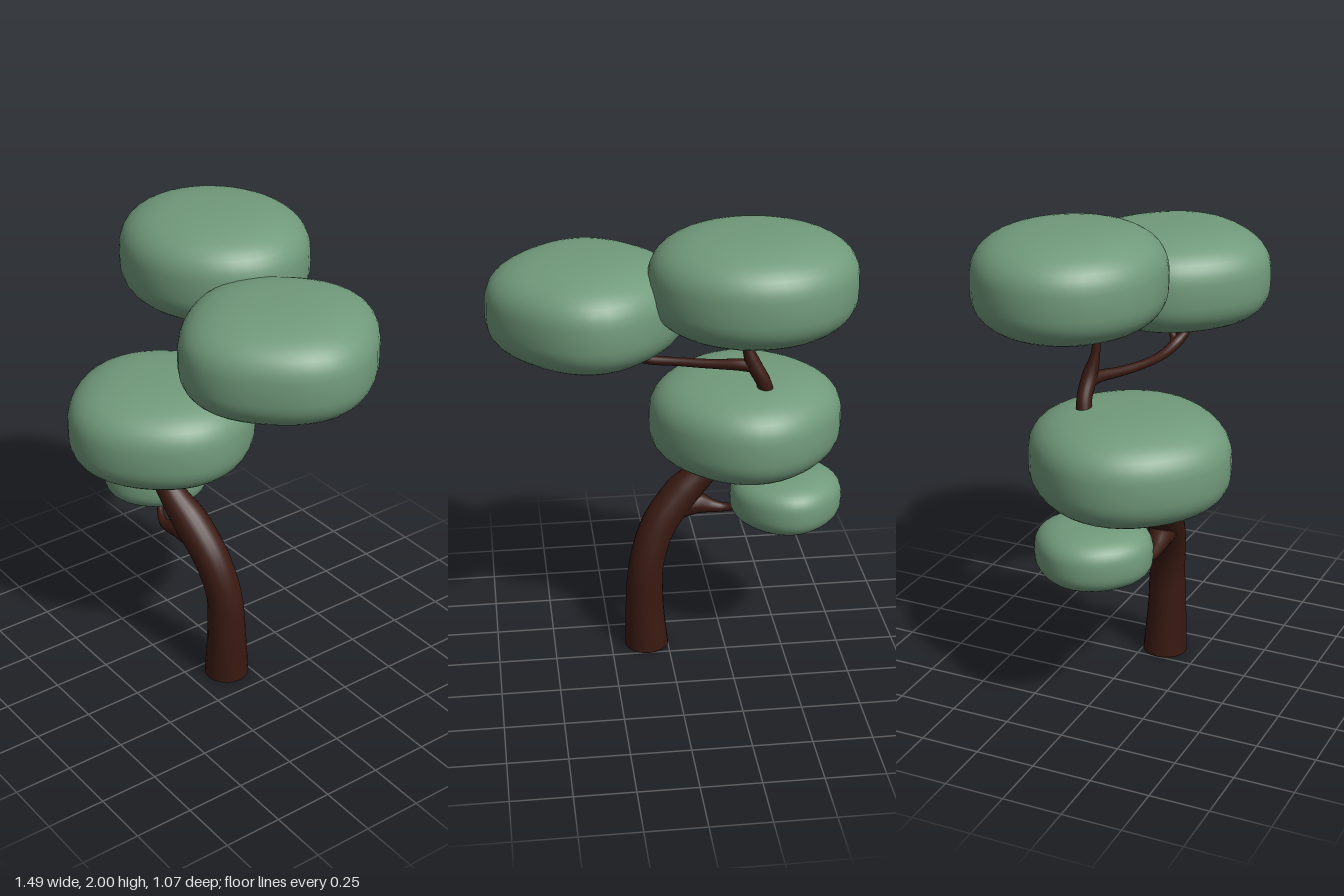
import * as THREE from 'three';
import { mergeVertices } from 'three/addons/utils/BufferGeometryUtils.js';

const leafMaterial = new THREE.MeshStandardMaterial({ color: 0x719a7b });
const barkMaterial = new THREE.MeshStandardMaterial({ color: 0x3a1a12, side: THREE.DoubleSide });

// Rounded cushion filling a box; "pointed" pulls the plan towards a soft diamond
function foliage(name, [cx, cy, cz], [rx, ry, rz], pointed) {
  const geo = new THREE.SphereGeometry(1, 40, 26);
  const pos = geo.attributes.position;
  const power = 0.7;
  for (let i = 0; i < pos.count; i++) {
    const x = pos.getX(i), y = pos.getY(i), z = pos.getZ(i);
    const angle = Math.atan2(z, x);
    const plan = (1 + pointed * Math.cos(4 * angle)) / (1 + pointed);
    const ring = Math.pow(Math.hypot(x, z), power) * plan;
    pos.setXYZ(i,
      rx * ring * Math.cos(angle),
      ry * Math.sign(y) * Math.pow(Math.abs(y), power),
      rz * ring * Math.sin(angle));
  }
  geo.deleteAttribute('uv');
  geo.deleteAttribute('normal');
  const smooth = mergeVertices(geo, 1e-4);
  smooth.computeVertexNormals();
  const mesh = new THREE.Mesh(smooth, leafMaterial);
  mesh.name = name;
  mesh.position.set(cx, cy, cz);
  return mesh;
}

// Tapering limb through points given as [x, y, z, radius]
function limb(name, points, segments = 32, sides = 16) {
  const curve = new THREE.CatmullRomCurve3(points.map(([x, y, z]) => new THREE.Vector3(x, y, z)));
  const geo = new THREE.TubeGeometry(curve, segments, 1, sides);
  const pos = geo.attributes.position, normal = geo.attributes.normal;
  for (let i = 0; i <= segments; i++) {
    const u = i / segments;
    const centre = curve.getPointAt(u);
    const t = curve.getUtoTmapping(u) * (points.length - 1);
    const k = Math.min(Math.floor(t), points.length - 2);
    const radius = THREE.MathUtils.lerp(points[k][3], points[k + 1][3], t - k);
    for (let j = 0; j <= sides; j++) {
      const v = i * (sides + 1) + j;
      pos.setXYZ(v,
        centre.x + radius * normal.getX(v),
        Math.max(0, centre.y + radius * normal.getY(v)),
        centre.z + radius * normal.getZ(v));
    }
  }
  const mesh = new THREE.Mesh(geo, barkMaterial);
  mesh.name = name;
  return mesh;
}

export function createModel() {
  const tree = new THREE.Group();
  tree.name = 'tree';

  // Leaning trunk, running through the middle cushion up to the top one
  tree.add(limb('trunk', [
    [0.093, 0, 0.09, 0.096], [0.1, 0.2, 0.095, 0.084], [0.09, 0.4, 0.1, 0.076],
    [0.035, 0.57, 0.125, 0.077], [-0.07, 0.71, 0.155, 0.078], [-0.17, 0.8, 0.175, 0.06],
    [-0.25, 0.89, 0.18, 0.05], [-0.34, 1.02, 0.1, 0.043], [-0.4, 1.18, -0.03, 0.036],
    [-0.385, 1.3, -0.06, 0.031], [-0.335, 1.4, -0.058, 0.032],
    [-0.31, 1.48, -0.045, 0.019], [-0.303, 1.56, -0.04, 0.015], [-0.303, 1.66, -0.04, 0.014],
  ], 90, 20));

  // Underside of the trunk
  const base = new THREE.Mesh(new THREE.CircleGeometry(0.096, 20), barkMaterial);
  base.name = 'trunkBase';
  base.rotation.x = Math.PI / 2;
  base.position.set(0.093, 0.001, 0.09);
  tree.add(base);

  // Short branch carrying the small cushion
  tree.add(limb('lowerBranch', [
    [-0.01, 0.64, 0.14, 0.06], [-0.12, 0.655, 0.16, 0.056], [-0.2, 0.628, 0.172, 0.03],
    [-0.26, 0.617, 0.17, 0.019], [-0.32, 0.635, 0.145, 0.015], [-0.39, 0.69, 0.1, 0.012],
  ]));

  // Long side branch and its forked tip
  tree.add(limb('upperBranch', [
    [-0.345, 1.385, -0.058, 0.03], [-0.28, 1.385, -0.04, 0.025], [-0.18, 1.376, 0, 0.02],
    [-0.04, 1.372, 0.05, 0.018], [0.09, 1.378, 0.08, 0.02], [0.17, 1.405, 0.1, 0.023],
    [0.215, 1.445, 0.125, 0.018], [0.25, 1.5, 0.14, 0.014],
  ], 48));
  tree.add(limb('upperTwig', [
    [0.15, 1.395, 0.095, 0.018], [0.19, 1.425, 0.075, 0.015], [0.215, 1.49, 0.03, 0.012],
  ], 14, 12));

  // Cushions of leaves
  tree.add(
    foliage('topFoliage', [-0.315, 1.787, -0.15], [0.42, 0.213, 0.386], 0.002),
    foliage('sideFoliage', [0.337, 1.657, 0.013], [0.408, 0.213, 0.418], 0.03),
    foliage('middleFoliage', [-0.335, 1.082, 0.115], [0.41, 0.213, 0.417], 0.02),
    foliage('lowerFoliage', [-0.505, 0.735, 0.035], [0.24, 0.125, 0.245], 0.02),
  );
  return tree;
}
